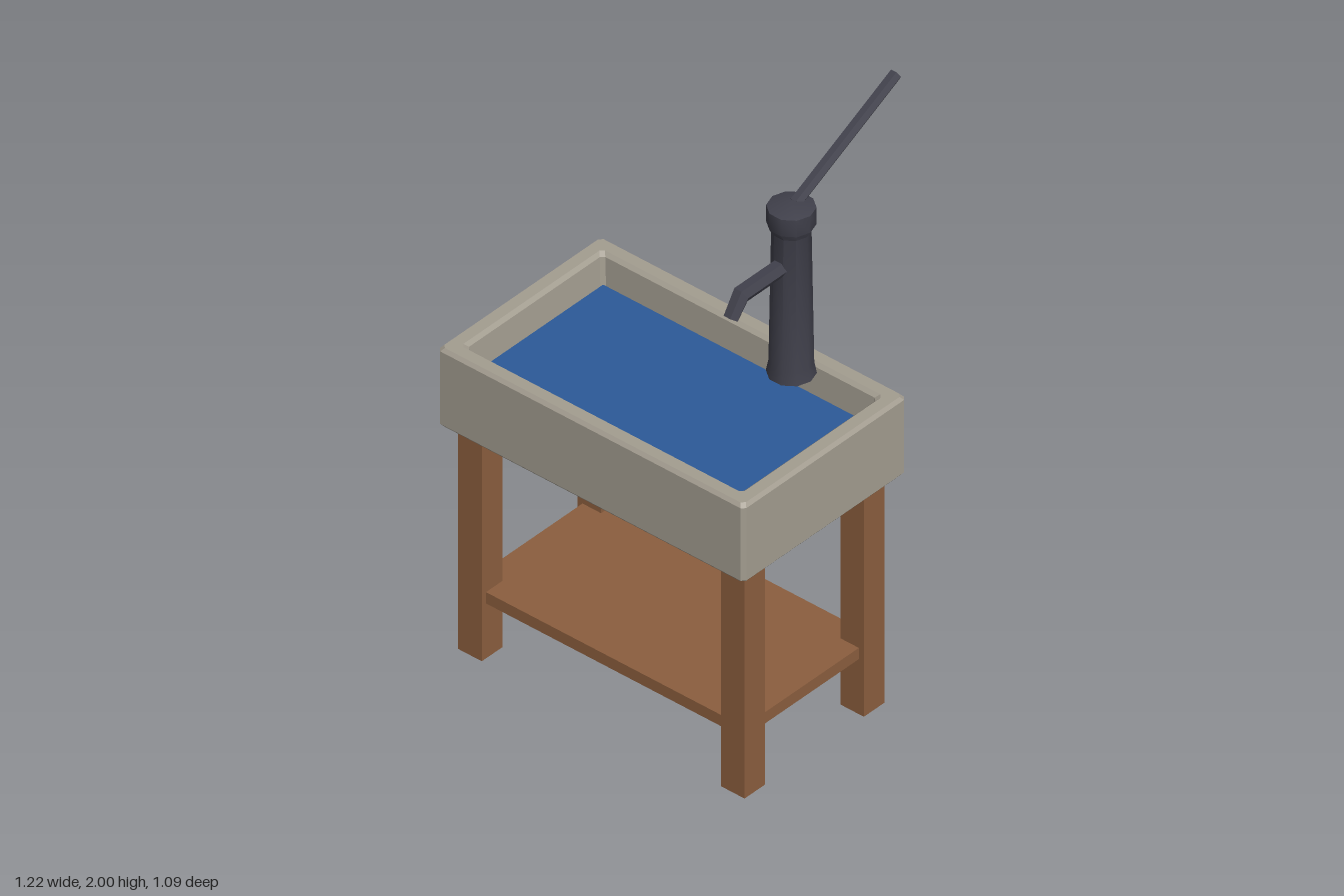
import * as THREE from 'three';
import { toCreasedNormals } from 'three/addons/utils/BufferGeometryUtils.js';

// Closed skin through equally sized rings of points, flat faceted
function loft(rings) {
  const n = rings[0].length, pos = [];
  const tri = (a, b, c) => pos.push(...a, ...b, ...c);
  for (let r = 0; r < rings.length - 1; r++) {
    for (let i = 0; i < n; i++) {
      const j = (i + 1) % n, lo = rings[r], hi = rings[r + 1];
      tri(lo[i], hi[i], lo[j]);
      tri(hi[i], hi[j], lo[j]);
    }
  }
  const first = rings[0], last = rings[rings.length - 1];
  for (let i = 1; i < n - 1; i++) {
    tri(first[0], first[i], first[i + 1]);
    tri(last[0], last[i + 1], last[i]);
  }
  const g = new THREE.BufferGeometry();
  g.setAttribute('position', new THREE.Float32BufferAttribute(pos, 3));
  g.computeVertexNormals();
  return g;
}

// Rectangle with cut corners at height y
function rectRing(hx, hz, y, c = 0.012) {
  return [
    [hx, y, -hz + c], [hx, y, hz - c], [hx - c, y, hz], [-hx + c, y, hz],
    [-hx, y, hz - c], [-hx, y, -hz + c], [-hx + c, y, -hz], [hx - c, y, -hz],
  ];
}

// Hexagon across a path in the y-z plane, stretched at mitred bends
function hexRing(x, y, z, ty, tz, r, stretch = 1) {
  const l = Math.hypot(ty, tz), ring = [];
  for (let i = 0; i < 6; i++) {
    const a = (i * Math.PI) / 3;
    const u = Math.cos(a) * r, v = Math.sin(a) * r * stretch;
    ring.push([x + u, y - (v * tz) / l, z + (v * ty) / l]);
  }
  return ring;
}

export function createModel() {
  const model = new THREE.Group();
  const mat = (name, color) => {
    const m = new THREE.MeshStandardMaterial({ color });
    m.name = name;
    return m;
  };
  const stone = mat('stone', 0xa39d90);
  const wood = mat('wood', 0x8b5e3e);
  const iron = mat('iron', 0x40404b);
  const water = mat('water', 0x2c5a98);
  const add = (name, geometry, material, x = 0, y = 0, z = 0, parent = model) => {
    const m = new THREE.Mesh(geometry, material);
    m.name = name;
    m.position.set(x, y, z);
    parent.add(m);
    return m;
  };
  const midZ = 0.172;

  // Basin: outside wall, bevelled rim, sloping inside wall
  add('basin', loft([
    rectRing(0.6, 0.362, 0.845), rectRing(0.61, 0.372, 0.857),
    rectRing(0.61, 0.372, 1.128), rectRing(0.6, 0.362, 1.14),
    rectRing(0.56, 0.322, 1.14), rectRing(0.548, 0.31, 1.128),
    rectRing(0.54, 0.304, 1.02),
  ]), stone, 0, 0, midZ);
  add('waterSurface', new THREE.BoxGeometry(1.072, 0.009, 0.6), water, 0, 1.026, midZ);

  // Stand
  for (const x of [-0.523, 0.523]) {
    for (const z of [-0.097, 0.447]) {
      add(z > 0 ? 'frontLeg' : 'backLeg', new THREE.BoxGeometry(0.094, 0.848, 0.094), wood, x, 0.424, z);
    }
  }
  add('shelf', new THREE.BoxGeometry(1.1, 0.042, 0.6), wood, 0, 0.227, 0.175);

  // Pump
  const pump = new THREE.Group();
  pump.name = 'pump';
  model.add(pump);
  const px = 0.27, pz = -0.063;
  const profile = [
    [0, 1.138], [0.077, 1.138], [0.069, 1.18], [0.061, 1.67],
    [0.076, 1.695], [0.076, 1.757], [0, 1.777],
  ].map(([r, y]) => new THREE.Vector2(r, y));
  const body = new THREE.LatheGeometry(profile, 10);
  body.rotateY(Math.PI / 2);
  add('pumpBody', toCreasedNormals(body, 0.7), iron, px, 0, pz, pump);

  // Spout with one mitred bend
  add('spout', loft([
    hexRing(px, 1.555, -0.06, 0, 1, 0.029),
    hexRing(px, 1.555, 0.167, -0.47, 0.88, 0.029, 1.13),
    hexRing(px, 1.492, 0.213, -0.81, 0.59, 0.026),
  ]), iron, 0, 0, 0, pump);

  // Handle rising to the back
  add('handle', loft([
    hexRing(px, 1.758, -0.08, 0.22, -0.45, 0.021),
    hexRing(px, 1.984, -0.538, 0.22, -0.45, 0.021),
  ]), iron, 0, 0, 0, pump);

  return model;
}
